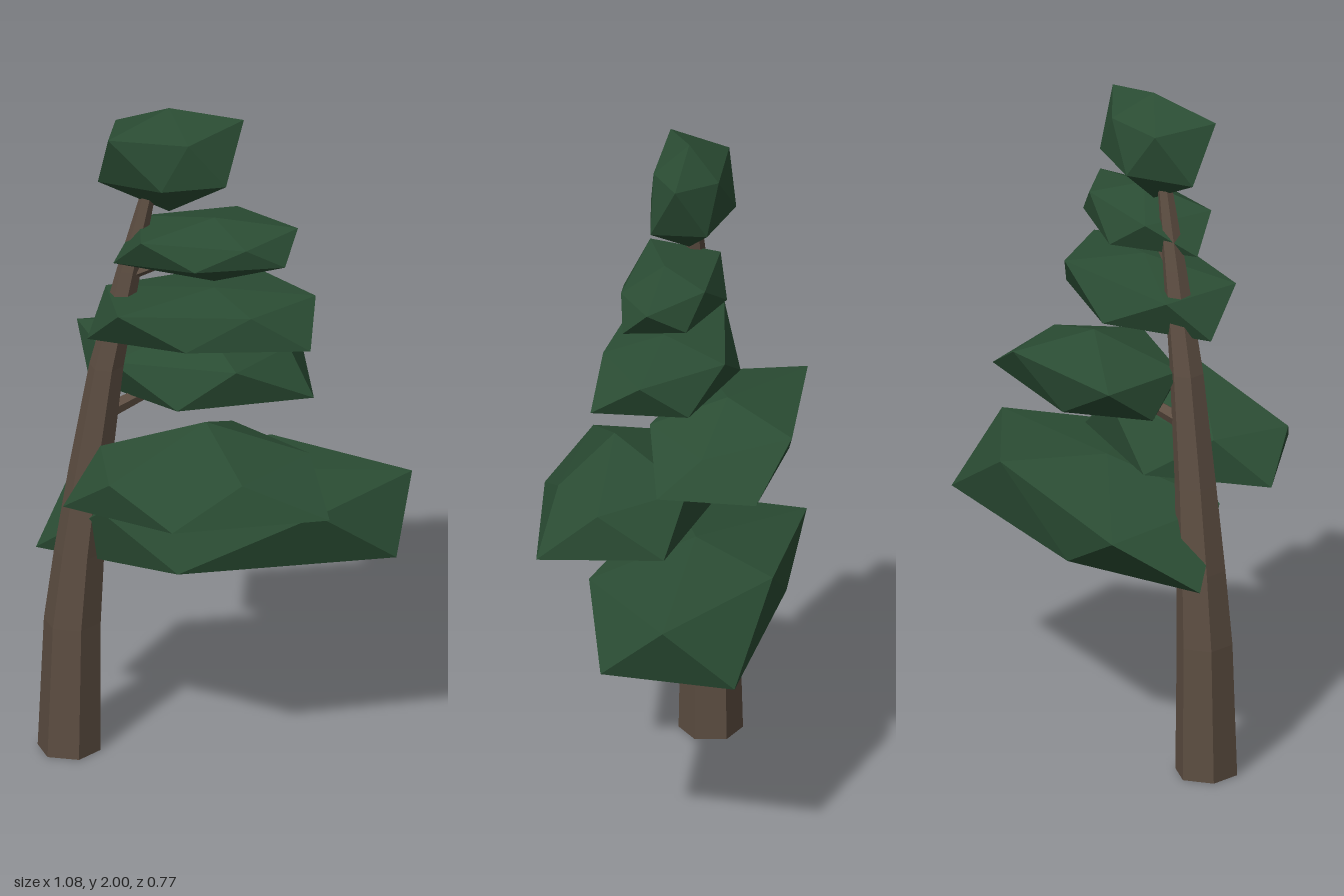
import * as THREE from 'three';

const bark = new THREE.MeshStandardMaterial({ color: 0x5c4d41 });
bark.name = 'bark';
const needles = new THREE.MeshStandardMaterial({ color: 0x2b4d34 });
needles.name = 'needles';
for (const m of [bark, needles]) m.flatShading = true;

// Solid from triangles listed as point triples
function facets(name, points, material) {
  const g = new THREE.BufferGeometry();
  g.setAttribute('position', new THREE.Float32BufferAttribute(points.flat(), 3));
  g.computeVertexNormals();
  const mesh = new THREE.Mesh(g, material);
  mesh.name = name;
  return mesh;
}

// Irregular twenty-sided clump: top point, upper ring, lower ring, bottom point
function clump(name, top, upper, lower, bottom) {
  const tris = [];
  for (let i = 0; i < 5; i++) {
    const j = (i + 1) % 5;
    tris.push(top, upper[j], upper[i]);
    tris.push(upper[i], upper[j], lower[i]);
    tris.push(lower[i], upper[j], lower[j]);
    tris.push(bottom, lower[i], lower[j]);
  }
  return facets(name, tris, needles);
}

// Six-sided trunk lofted through rings of [x, y, radius]
function trunk() {
  const z = -0.045;
  const rings = [[-0.452, 0, 0.092], [-0.443, 0.4, 0.083], [-0.423, 0.62, 0.073], [-0.393, 0.87, 0.062],
    [-0.345, 1.2, 0.05], [-0.28, 1.5, 0.035], [-0.21, 1.8, 0.018]];
  const at = ([x, y, r], i) => {
    const a = (18 + 60 * i) * Math.PI / 180;
    return [x + r * Math.cos(a), y, z + r * Math.sin(a)];
  };
  const tris = [];
  const last = rings.length - 1;
  for (let i = 0; i < 6; i++) {
    for (let k = 0; k < last; k++) {
      const a = at(rings[k], i), b = at(rings[k], i + 1);
      const c = at(rings[k + 1], i), d = at(rings[k + 1], i + 1);
      tris.push(a, c, b, b, c, d);
    }
    tris.push([rings[0][0], 0, z], at(rings[0], i), at(rings[0], i + 1));
    tris.push([rings[last][0], rings[last][1], z], at(rings[last], i + 1), at(rings[last], i));
  }
  return facets('trunk', tris, bark);
}

// Tapered branch from the trunk into a clump
function branch(from, to, radius) {
  const a = new THREE.Vector3(...from), b = new THREE.Vector3(...to);
  const mesh = new THREE.Mesh(new THREE.CylinderGeometry(radius * 0.6, radius, a.distanceTo(b), 5), bark);
  mesh.position.copy(a).lerp(b, 0.5);
  mesh.quaternion.setFromUnitVectors(new THREE.Vector3(0, 1, 0), b.sub(a).normalize());
  mesh.name = 'branch';
  return mesh;
}

export function createModel() {
  const tree = new THREE.Group();
  tree.name = 'pineTree';
  tree.add(trunk());

  // Branches
  tree.add(
    branch([-0.42, 0.6, -0.045], [-0.1, 0.68, -0.1], 0.03),
    branch([-0.4, 0.84, -0.045], [-0.15, 0.92, 0.12], 0.028),
    branch([-0.37, 1.04, -0.045], [-0.1, 1.12, -0.16], 0.025),
    branch([-0.33, 1.28, -0.045], [-0.1, 1.35, 0], 0.022),
    branch([-0.29, 1.48, -0.045], [-0.08, 1.57, -0.01], 0.02));

  // Foliage, lowest to highest
  tree.add(clump('lowestFoliage', [0.0, 0.835, -0.1],
    [[0.54, 0.79, -0.12], [0.24, 0.79, 0.16], [-0.37, 0.78, 0.05], [-0.41, 0.75, -0.335], [0.16, 0.81, -0.36]],
    [[0.475, 0.61, 0.075], [-0.16, 0.62, 0.15], [-0.54, 0.6, -0.12], [-0.16, 0.61, -0.33], [0.49, 0.61, -0.32]],
    [0.04, 0.57, -0.12]));
  tree.add(clump('frontFoliage', [-0.08, 1.1, 0.155],
    [[0.22, 0.98, 0.14], [0.01, 0.96, 0.3], [-0.37, 0.97, 0.28], [-0.37, 0.98, 0.03], [0.02, 0.99, -0.08]],
    [[0.26, 0.845, 0.31], [-0.2, 0.86, 0.385], [-0.49, 0.85, 0.15], [-0.2, 0.84, -0.1], [0.2, 0.85, -0.05]],
    [-0.12, 0.8, 0.14]));
  tree.add(clump('backFoliage', [-0.06, 1.26, -0.18],
    [[0.19, 1.18, -0.16], [0.02, 1.19, 0.03], [-0.33, 1.2, -0.06], [-0.4, 1.21, -0.34], [0.04, 1.2, -0.39]],
    [[0.25, 1.07, -0.04], [-0.15, 1.08, 0.035], [-0.38, 1.09, -0.18], [-0.15, 1.07, -0.34], [0.25, 1.08, -0.33]],
    [0.0, 1.02, -0.18]));
  tree.add(clump('middleFoliage', [-0.04, 1.45, 0],
    [[0.25, 1.415, 0.01], [0.05, 1.42, 0.16], [-0.33, 1.43, 0.13], [-0.34, 1.42, -0.11], [0.07, 1.43, -0.2]],
    [[0.22, 1.31, 0.16], [-0.14, 1.33, 0.18], [-0.405, 1.305, 0], [-0.14, 1.31, -0.2], [0.19, 1.31, -0.12]],
    [-0.05, 1.27, 0]));
  tree.add(clump('upperFoliage', [-0.04, 1.67, 0],
    [[0.2, 1.625, 0], [0.04, 1.61, 0.11], [-0.26, 1.64, 0.09], [-0.24, 1.63, -0.12], [0.04, 1.64, -0.135]],
    [[0.155, 1.54, 0.08], [-0.11, 1.56, 0.135], [-0.33, 1.54, 0.0], [-0.12, 1.54, -0.165], [0.13, 1.55, -0.1]],
    [-0.04, 1.47, 0]));
  tree.add(clump('topFoliage', [-0.165, 2, -0.045],
    [[0.05, 1.95, -0.05], [-0.12, 1.92, 0.05], [-0.35, 1.95, 0.05], [-0.31, 1.93, -0.13], [-0.1, 1.92, -0.145]],
    [[-0.01, 1.78, 0.035], [-0.2, 1.79, 0.075], [-0.37, 1.78, -0.04], [-0.22, 1.79, -0.17], [-0.01, 1.79, -0.13]],
    [-0.165, 1.675, -0.045]));
  return tree;
}
